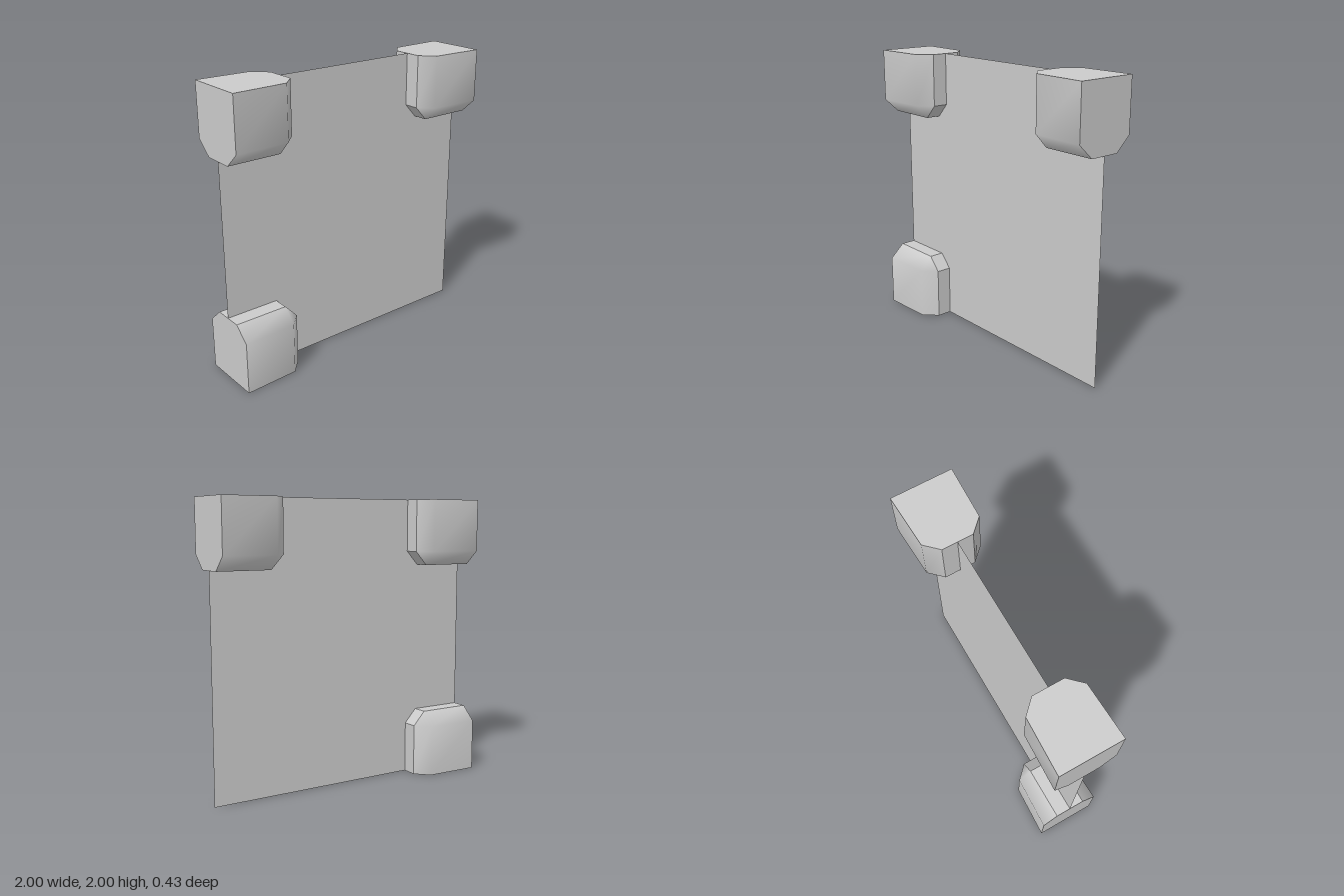
import * as THREE from 'three';
import { mergeGeometries } from 'three/addons/utils/BufferGeometryUtils.js';

// Half of a corner block, measured inwards from its outer corner: [x depth, y depth, half thickness]
const PTS = [
  [0, 0, 0.215], [0.38, 0, 0.2], [0, 0.365, 0.215], [0.38, 0.365, 0.2],
  [0.47, 0, 0.108], [0.47, 0.365, 0.108], [0, 0.463, 0.108], [0.38, 0.463, 0.108],
];

// Build faces (fans of points) for the corner with signs sx, sy; each corner is [index, z sign]
function facesGeometry(faces, sx, sy, smooth) {
  const pos = [], index = [], seen = new Map();
  const vertex = ([i, sz]) => {
    const key = i + '/' + sz;
    if (smooth && seen.has(key)) return seen.get(key);
    const [u, v, w] = PTS[i];
    pos.push(sx * (1 - u), 1 + sy * (1 - v), sz * w);
    seen.set(key, pos.length / 3 - 1);
    return pos.length / 3 - 1;
  };
  for (const face of faces) {
    const ids = face.map(vertex);
    if (sx * sy < 0) ids.reverse();
    for (let k = 1; k < ids.length - 1; k++) index.push(ids[0], ids[k], ids[k + 1]);
  }
  const g = new THREE.BufferGeometry();
  g.setAttribute('position', new THREE.Float32BufferAttribute(pos, 3));
  g.setIndex(index);
  g.computeVertexNormals();
  return g;
}

function cornerBlock(sx, sy) {
  // Broad face flowing smoothly into its chamfers, on front and back
  const front = [[0, 1, 3, 2], [1, 4, 5, 3], [2, 3, 7, 6], [3, 5, 7]];
  const skin = [];
  for (const face of front) {
    skin.push(face.map(i => [i, 1]));
    skin.push(face.map(i => [i, -1]).reverse());
  }
  // Flat rim strips facing the middle of the panel
  const rim = [4, 5, 7, 6];
  const flat = [];
  for (let k = 0; k < 3; k++) {
    const a = rim[k], b = rim[k + 1];
    flat.push([[a, 1], [a, -1], [b, -1], [b, 1]]);
  }
  // Flat outer caps on the side and the top or bottom
  flat.push([[0, 1], [2, 1], [6, 1], [6, -1], [2, -1], [0, -1]]);
  flat.push([[0, -1], [1, -1], [4, -1], [4, 1], [1, 1], [0, 1]]);
  return mergeGeometries([
    facesGeometry(skin, sx, sy, true),
    facesGeometry(flat, sx, sy, false),
  ]);
}

export function createModel() {
  const model = new THREE.Group();
  model.name = 'panelWithCornerBlocks';

  // Thin square sheet
  const panel = new THREE.Mesh(
    new THREE.PlaneGeometry(2, 2),
    new THREE.MeshStandardMaterial({ color: 0xcccccc, side: THREE.DoubleSide })
  );
  panel.name = 'panel';
  panel.position.y = 1;
  model.add(panel);

  // Blocks on three of the four corners
  const blockMaterial = new THREE.MeshStandardMaterial({ color: 0xcccccc });
  const corners = [['topRightBlock', -1, 1], ['topLeftBlock', 1, 1], ['bottomRightBlock', -1, -1]];
  for (const [name, sx, sy] of corners) {
    const block = new THREE.Mesh(cornerBlock(sx, sy), blockMaterial);
    block.name = name;
    model.add(block);
  }
  return model;
}
